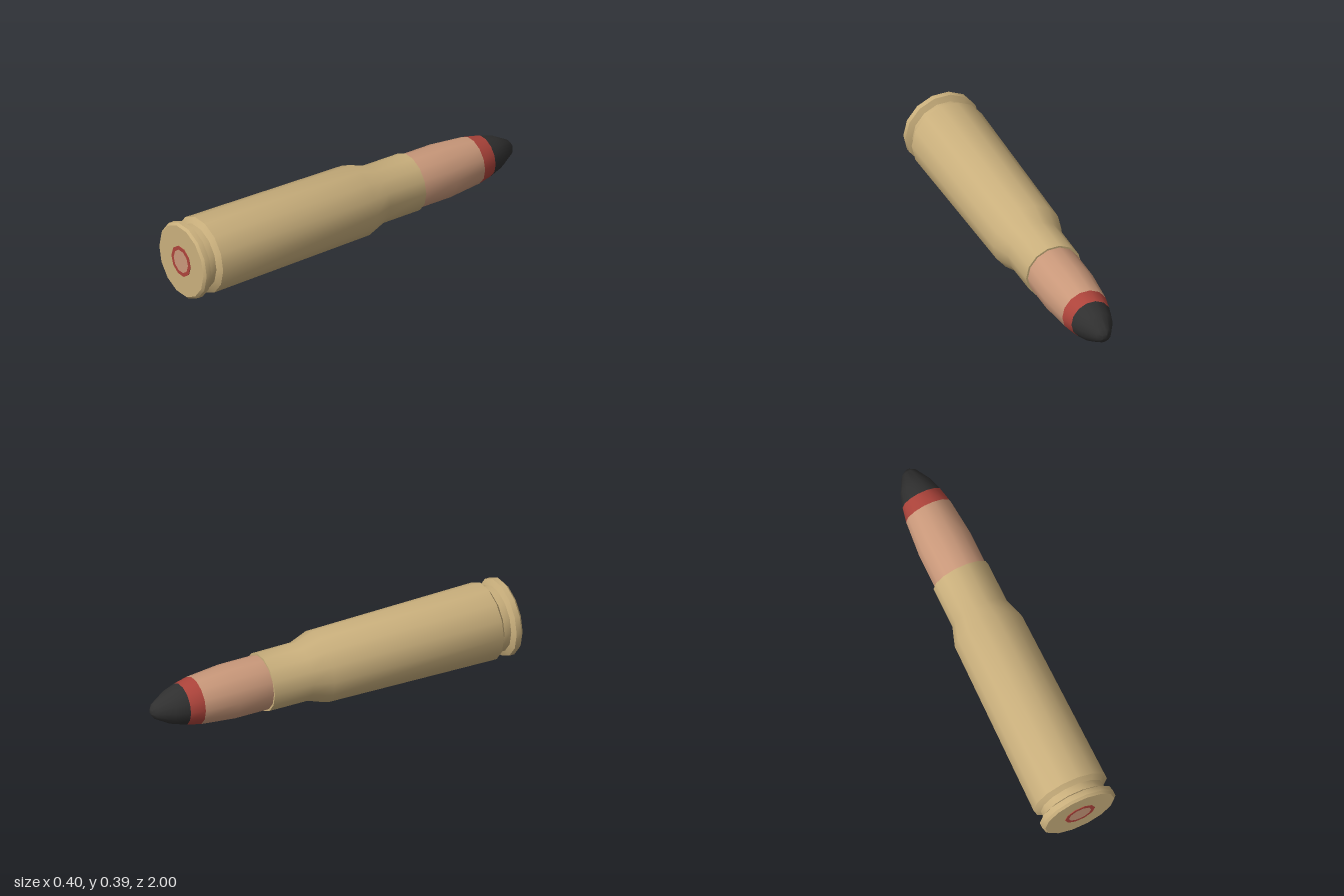
import * as THREE from 'three';
import { toCreasedNormals } from 'three/addons/utils/BufferGeometryUtils.js';

const BRASS = 0xc9af7c, COPPER = 0xc9987a, RED = 0xad443b, BLACK = 0x303030;

// Turned part: profile of [radius, z] pairs running from the base (+z) to the tip (-z)
function turned(name, color, profile, sides = 14) {
  const points = profile.map(([r, z]) => new THREE.Vector2(r, -z));
  const lathe = new THREE.LatheGeometry(points, sides, Math.PI / 2);
  lathe.rotateX(-Math.PI / 2);
  const mesh = new THREE.Mesh(
    toCreasedNormals(lathe, THREE.MathUtils.degToRad(32)),
    new THREE.MeshStandardMaterial({ color })
  );
  mesh.name = name;
  return mesh;
}

export function createModel() {
  const group = new THREE.Group();
  group.name = 'cartridge';

  // Case: rim, extractor groove, tapered body, shoulder, neck and mouth
  group.add(turned('case', BRASS, [
    [0, 0.997], [0.188, 0.997], [0.2, 0.985], [0.2, 0.957],
    [0.17, 0.943], [0.17, 0.905], [0.2, 0.885],
    [0.185, -0.06], [0.151, -0.16], [0.15, -0.38], [0.139, -0.38],
  ]));

  // Primer cup and its sealing ring on the base
  group.add(turned('primer', COPPER, [[0, 1], [0.061, 1]], 10));
  group.add(turned('primerRing', RED, [[0.061, 1], [0.081, 1], [0.081, 0.995]], 10));

  // Bullet: jacket, coloured band and dark tip
  group.add(turned('bulletJacket', COPPER, [[0.14, -0.36], [0.14, -0.57], [0.123, -0.755]]));
  group.add(turned('bulletBand', RED, [[0.123, -0.755], [0.107, -0.83]]));
  group.add(turned('bulletTip', BLACK, [
    [0.107, -0.83], [0.085, -0.9], [0.04, -0.98], [0.015, -0.998], [0, -1],
  ]));

  // Rest the flat underside on the ground
  group.children.forEach((part) => { part.position.y = 0.2 * Math.cos(Math.PI / 14); });
  return group;
}
